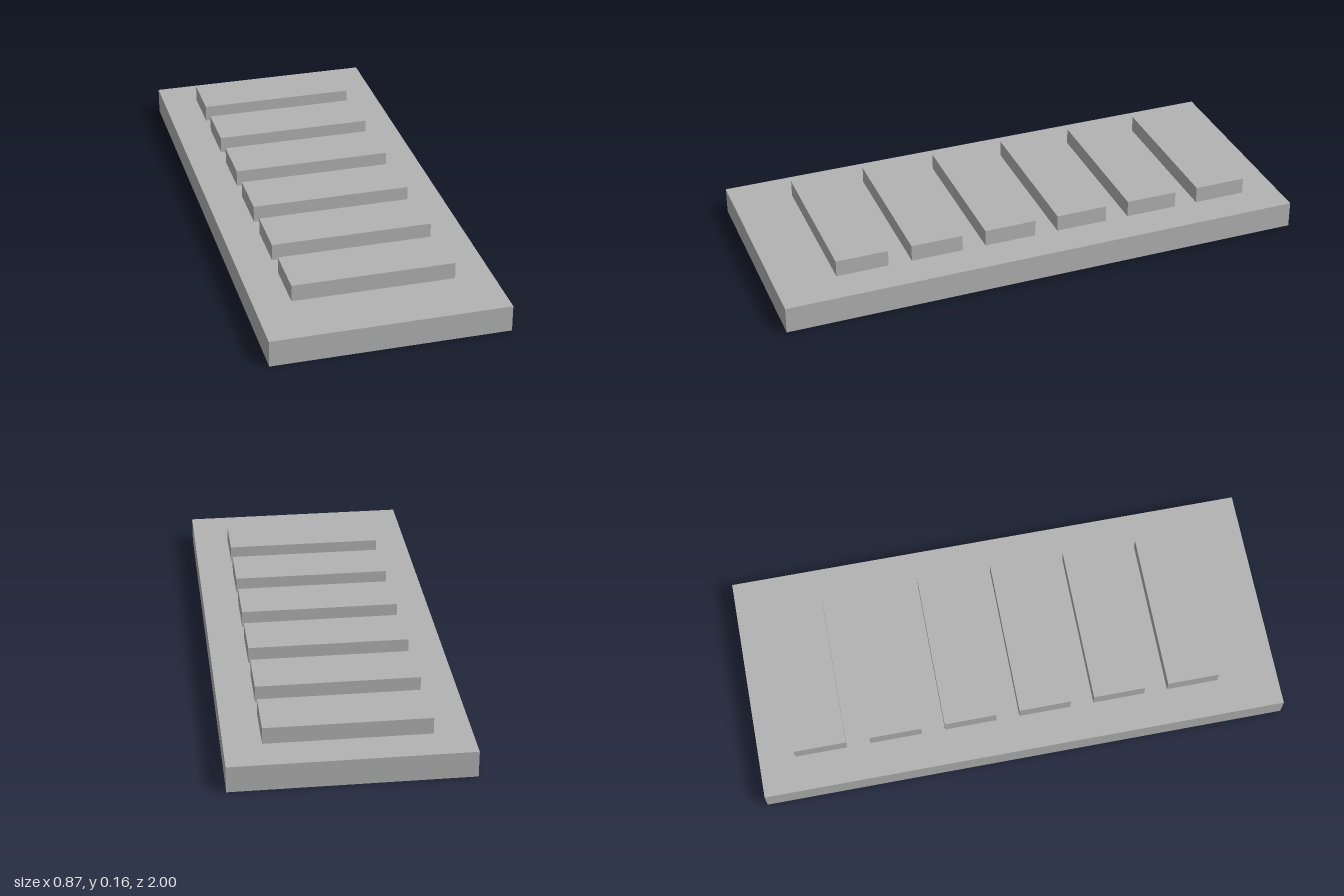
import * as THREE from 'three';

export function createModel() {
  const model = new THREE.Group();
  const grey = new THREE.MeshStandardMaterial({ color: 0xb3b3b3 });
  grey.name = 'light grey';

  const baseHeight = 0.1;
  const slatSize = { width: 0.6, height: 0.063, depth: 0.198 };
  const slatCount = 6;
  const slatSpacing = 0.2873;
  const firstSlatZ = -0.764;

  // Flat base slab
  const base = new THREE.Mesh(new THREE.BoxGeometry(0.873, baseHeight, 2), grey);
  base.name = 'base';
  base.position.y = baseHeight / 2;
  model.add(base);

  // Row of raised slats, set slightly towards the back
  const slatGeometry = new THREE.BoxGeometry(slatSize.width, slatSize.height, slatSize.depth);
  for (let i = 0; i < slatCount; i++) {
    const slat = new THREE.Mesh(slatGeometry, grey);
    slat.name = `slat${i + 1}`;
    slat.position.set(0, baseHeight + slatSize.height / 2, firstSlatZ + i * slatSpacing);
    model.add(slat);
  }

  return model;
}
